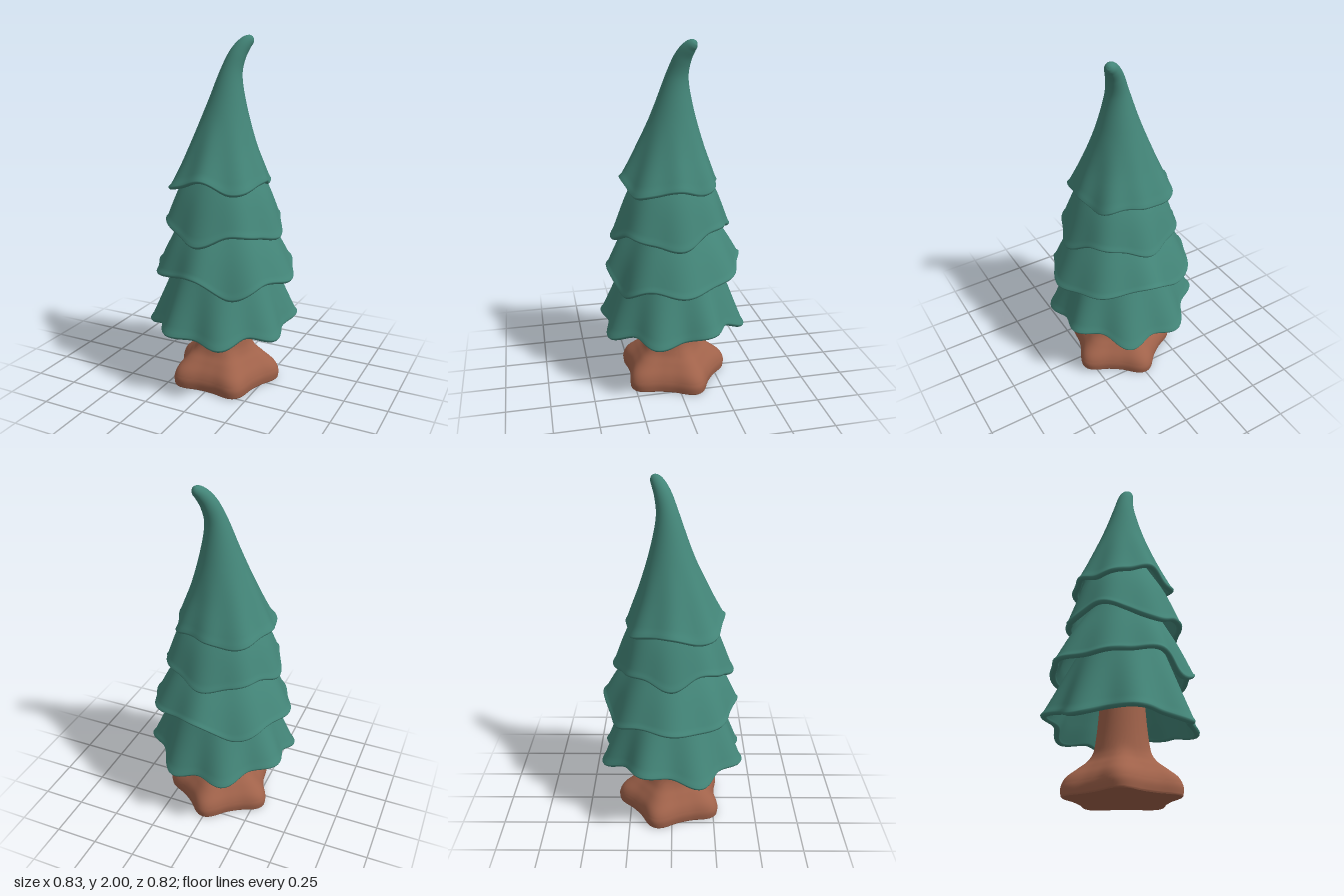
import * as THREE from 'three';
import { toCreasedNormals } from 'three/addons/utils/BufferGeometryUtils.js';

const { cos, sin, PI } = Math;
const SEGMENTS = 120;
const LEAN = new THREE.Vector2(0.76, -0.65); // ground direction the tip bends towards

// Skin a stack of closed rings; point(row, angle) returns [x, y, z].
function loft(rows, point) {
  const positions = [];
  const index = [];
  rows.forEach((row, j) => {
    for (let i = 0; i < SEGMENTS; i++) {
      positions.push(...point(row, (i / SEGMENTS) * 2 * PI));
      if (j === 0) continue;
      const next = (i + 1) % SEGMENTS;
      const a = (j - 1) * SEGMENTS + i;
      const b = (j - 1) * SEGMENTS + next;
      const c = j * SEGMENTS + i;
      const d = j * SEGMENTS + next;
      index.push(a, c, b, b, c, d);
    }
  });
  const geometry = new THREE.BufferGeometry();
  geometry.setAttribute('position', new THREE.Float32BufferAttribute(positions, 3));
  geometry.setIndex(index);
  geometry.computeVertexNormals();
  return geometry;
}

// One skirt of branches.
// spine: [y, radius, lean] going up; hemRadius: rule by angle;
// hemHeights: heights at even angles from +x towards +z;
// fade: height over which the waves die out; inner: how far the lining reaches.
function branchTier({ spine, hemRadius, hemHeights, fade, inner }) {
  const spineCurve = new THREE.CatmullRomCurve3(
    spine.map(([y, r, lean = 0]) => new THREE.Vector3(lean, y, r)));
  const hemCurve = new THREE.CatmullRomCurve3(
    hemHeights.map((y) => new THREE.Vector3(0, y, 0)), true, 'catmullrom');
  const [baseY, baseR] = spine[0];

  // Rows run down the inside, round the lip and up the outside.
  const thickness = 0.038;
  const rows = [{ t: inner, out: -1, drop: 0 }];
  for (let i = 8; i >= 1; i--) rows.push({ t: (inner * i) / 8, out: -thickness, drop: 0 });
  for (let i = 0; i <= 8; i++) {
    const a = PI * (1 - i / 8);
    rows.push({
      t: 0,
      out: (thickness / 2) * (cos(a) - 1),
      drop: (thickness / 2) * sin(a) - 0.012,
    });
  }
  const steps = spine.length * 6;
  for (let i = 1; i <= steps; i++) rows.push({ t: i / steps, out: 0, drop: 0 });

  return loft(rows, ({ t, out, drop }, angle) => {
    const p = spineCurve.getPoint(t);
    const tangent = spineCurve.getTangent(t);
    const tilt = Math.atan2(tangent.x, tangent.y);
    const k = Math.max(0, 1 - (p.y - baseY) / fade) ** 1.1;
    const r = Math.max(0, p.z * (1 + k * (hemRadius(angle) / baseR - 1)) + out);
    const x = r * cos(angle);
    const z = r * sin(angle);
    // Tip the ring over so it stays square to the bending spine
    const along = x * LEAN.x + z * LEAN.y;
    const shift = p.x + along * (cos(tilt) - 1);
    const wave = k * (hemCurve.getPoint(angle / (2 * PI)).y - baseY);
    return [x + LEAN.x * shift, p.y + wave - drop - along * sin(tilt), z + LEAN.y * shift];
  });
}

// Trunk flaring into a blunt five-cornered foot, one corner pointing back
function trunkGeometry() {
  const profile = new THREE.SplineCurve([
    [0.284, 0.005], [0.287, 0.05], [0.266, 0.1], [0.218, 0.15],
    [0.172, 0.2], [0.146, 0.28], [0.124, 0.5], [0.11, 0.82],
  ].map((p) => new THREE.Vector2(...p)));
  const rows = [new THREE.Vector2(0, 0), new THREE.Vector2(0.28, 0), ...profile.getPoints(40)];
  const geometry = loft(rows, ({ x: radius, y }, angle) => {
    const corner = 5 * (angle + PI / 2);
    const root = 1 - THREE.MathUtils.smoothstep(y, 0.08, 0.28);
    const r = radius * (1 + root * (0.115 * cos(corner) + 0.018 * cos(2 * corner)));
    return [r * cos(angle), y, r * sin(angle)];
  });
  return toCreasedNormals(geometry, 0.75);
}

export function createModel() {
  const model = new THREE.Group();
  model.name = 'tree';
  const green = new THREE.MeshStandardMaterial({ color: 0x438578 });
  const brown = new THREE.MeshStandardMaterial({ color: 0xa0624a });

  function add(name, geometry, material) {
    const mesh = new THREE.Mesh(geometry, material);
    mesh.name = name;
    model.add(mesh);
  }

  add('trunk', trunkGeometry(), brown);

  // Eight even pleats
  add('bottomBranches', branchTier({
    spine: [[0.38, 0.405], [0.63, 0.31], [0.85, 0.22]],
    hemRadius: (a) => 0.408 - 0.008 * cos(a) - 0.027 * cos(8 * a),
    hemHeights: [0.385, 0.36, 0.39, 0.345, 0.37, 0.375, 0.38, 0.348,
      0.4, 0.42, 0.41, 0.36, 0.375, 0.348, 0.41, 0.41],
    fade: 0.48,
    inner: 0.8,
  }), green);

  // Slightly wider from side to side
  add('lowerBranches', branchTier({
    spine: [[0.685, 0.393], [0.87, 0.305], [1.08, 0.18]],
    hemRadius: (a) => 0.393 + 0.012 * cos(2 * a) - 0.008 * sin(a) + 0.012 * cos(8 * a),
    hemHeights: [0.665, 0.685, 0.615, 0.715, 0.695, 0.675, 0.69, 0.7, 0.655, 0.75, 0.73, 0.7],
    fade: 0.4,
    inner: 0.7,
  }), green);

  // Slightly deeper at the front
  add('upperBranches', branchTier({
    spine: [[0.945, 0.332], [1.16, 0.25], [1.32, 0.16]],
    hemRadius: (a) => 0.332 + 0.008 * sin(a) + 0.006 * cos(4 * a) + 0.01 * cos(8 * a),
    hemHeights: [0.91, 0.935, 0.955, 0.895, 0.945, 0.99, 0.925, 0.97, 0.955, 0.935, 0.98, 0.985],
    fade: 0.38,
    inner: 0.7,
  }), green);

  // Tall cone with a bent, rounded tip
  add('treeTop', branchTier({
    spine: [[1.2, 0.28], [1.4, 0.193], [1.6, 0.118, 0.012], [1.8, 0.062, 0.038],
      [1.9, 0.047, 0.077], [1.953, 0.037, 0.118], [1.972, 0.027, 0.144],
      [1.979, 0.015, 0.156], [1.981, 0, 0.16]],
    hemRadius: (a) => 0.28 + 0.025 * cos(a - 2.3) - 0.011 * cos(4 * a) + 0.009 * cos(8 * a),
    hemHeights: [1.215, 1.195, 1.175, 1.24, 1.195, 1.165, 1.205, 1.2, 1.175, 1.2, 1.21, 1.18],
    fade: 0.36,
    inner: 0.12,
  }), green);

  return model;
}
